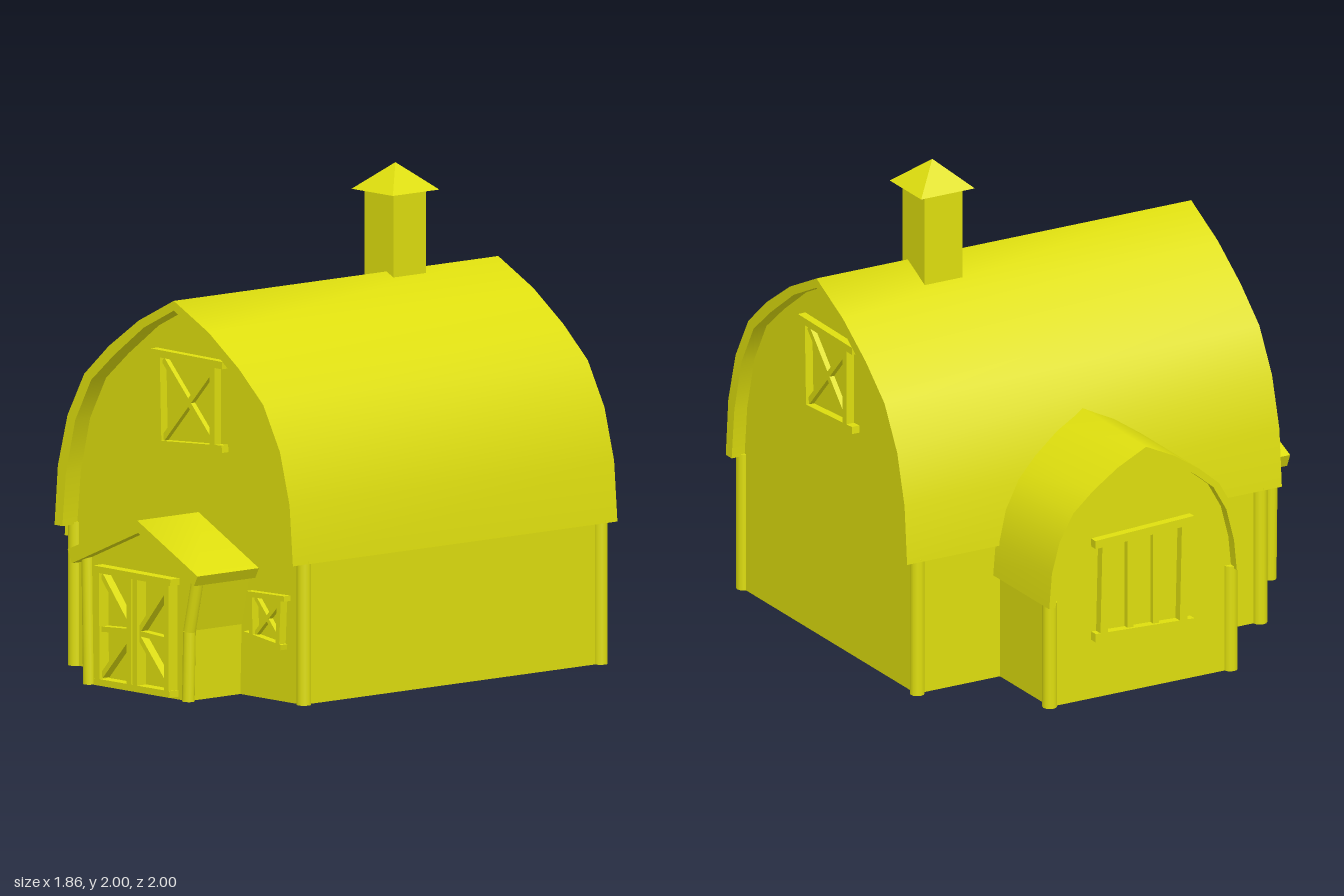
import * as THREE from 'three';
import { toCreasedNormals } from 'three/addons/utils/BufferGeometryUtils.js';

const yellow = new THREE.MeshStandardMaterial({ color: 0xdede0e, side: THREE.DoubleSide });
yellow.name = 'barn yellow';

// Right half of the rounded roof section, from ridge to eave
const OUTER = [[0, 1.57], [0.212, 1.465], [0.393, 1.34], [0.541, 1.21], [0.642, 1.03], [0.7, 0.82], [0.72, 0.575]];
const INNER = [[0, 1.53], [0.181, 1.44], [0.361, 1.307], [0.499, 1.19], [0.595, 1.016], [0.652, 0.79], [0.673, 0.575]];

// Full section, left eave to right eave
const full = (half) => [...half.slice(1).reverse().map(([x, y]) => [-x, y]), ...half];
const shapeOf = (pts) => new THREE.Shape(pts.map(([x, y]) => new THREE.Vector2(x, y)));

function add(parent, name, geo) {
  const m = new THREE.Mesh(geo, yellow);
  m.name = name;
  parent.add(m);
  return m;
}

// Solid prism of an outline between z0 and z1
function prism(parent, name, pts, z0, z1) {
  const geo = new THREE.ExtrudeGeometry(shapeOf(pts), { depth: z1 - z0, bevelEnabled: false });
  return add(parent, name, toCreasedNormals(geo.translate(0, 0, z0), 1.0));
}

// Flat wall facing +z or -z
function wall(parent, name, pts, z, back = false) {
  const m = add(parent, name, new THREE.ShapeGeometry(shapeOf(pts)));
  m.position.z = z;
  if (back) m.rotation.y = Math.PI;
  return m;
}

// Single side wall running along z, following a path in x and y
function sideWall(parent, name, path, z0, z1) {
  const pos = [];
  for (let i = 0; i < path.length - 1; i++) {
    const [a, b] = [path[i], path[i + 1]];
    pos.push(...a, z0, ...b, z0, ...b, z1, ...a, z0, ...b, z1, ...a, z1);
  }
  const geo = new THREE.BufferGeometry();
  geo.setAttribute('position', new THREE.Float32BufferAttribute(pos, 3));
  geo.computeVertexNormals();
  return add(parent, name, geo);
}

// Straight timber between two points of a facade
function bar(parent, name, [x1, y1, x2, y2], w, depth, z) {
  const m = add(parent, name, new THREE.BoxGeometry(Math.hypot(x2 - x1, y2 - y1), w, depth));
  m.position.set((x1 + x2) / 2, (y1 + y2) / 2, z);
  m.rotation.z = Math.atan2(y2 - y1, x2 - x1);
}

// Rails, stiles and thinner braces making up a window or door
function timberFrame(parent, name, z, rails, braces, w) {
  const g = new THREE.Group();
  g.name = name;
  g.position.z = z;
  rails.forEach((r) => bar(g, 'frameTimber', r, w, 0.06, 0.005));
  braces.forEach((r) => bar(g, 'brace', r, w * 0.8, 0.04, 0.002));
  parent.add(g);
  return g;
}

// Round post bent along a path of points in x and y
function post(parent, name, path, z, r = 0.03) {
  for (let i = 0; i < path.length - 1; i++) {
    const a = new THREE.Vector3(...path[i], z), b = new THREE.Vector3(...path[i + 1], z);
    const dir = b.clone().sub(a);
    const m = add(parent, name, new THREE.CylinderGeometry(r, r, dir.length(), 12));
    m.position.copy(a).add(b).multiplyScalar(0.5);
    m.quaternion.setFromUnitVectors(new THREE.Vector3(0, 1, 0), dir.normalize());
  }
}

// Arched hall: roof band, end walls, side walls and corner posts, open below
function hall(name, sx, mapY, z0, z1, wz0, wz1, halfWall, backEnd) {
  const g = new THREE.Group();
  g.name = name;
  const fit = (half) => full(half).map(([x, y]) => [x * sx, mapY(y)]);
  const outer = fit(OUTER), inner = fit(INNER), eave = mapY(0.575);
  prism(g, 'roof', [...outer, ...inner.slice().reverse()], z0, z1);
  const mid = outer.map(([x, y], i) => [(x + inner[i][0]) / 2, (y + inner[i][1]) / 2]);
  const end = [[-halfWall, 0], [-halfWall, eave], ...mid.slice(1, -1), [halfWall, eave], [halfWall, 0]];
  wall(g, 'frontWall', end, wz1);
  if (backEnd) wall(g, 'backWall', end, wz0, true);
  for (const s of [-1, 1]) {
    sideWall(g, 'sideWall', [[s * halfWall, 0], [s * halfWall, eave + 0.03]], wz0, wz1);
    for (const z of backEnd ? [wz0, wz1] : [wz1])
      post(g, 'cornerPost', [[s * halfWall, 0], [s * halfWall, eave + 0.01]], z - Math.sign(z) * 0.005);
  }
  return g;
}

export function createModel() {
  const model = new THREE.Group();
  model.name = 'barn';

  // Main hall
  const main = hall('mainHall', 1, (y) => y, -1, 0.745, -0.94, 0.665, 0.69, true);
  main.position.x = 0.205;
  model.add(main);

  // Side hall facing -x
  const side = hall('sideHall', 0.627, (y) => 0.44 + (y - 0.575) * 0.615, 0.3, 0.93, 0.45, 0.885, 0.42, false);
  side.rotation.y = -Math.PI / 2;
  side.position.z = -0.13;
  model.add(side);
  timberFrame(side, 'sideWindow', 0.885,
    [[-0.23, 0.67, 0.23, 0.69], [-0.23, 0.27, 0.23, 0.25], [-0.19, 0.26, -0.18, 0.68], [0.18, 0.26, 0.19, 0.68]],
    [[-0.06, 0.26, -0.06, 0.68], [0.06, 0.26, 0.06, 0.68]], 0.035);

  // Loft windows in both gables
  for (const back of [false, true]) {
    const loft = timberFrame(main, 'loftWindow', back ? -0.94 : 0.665,
      [[-0.19, 1.335, 0.24, 1.33], [-0.15, 0.965, 0.24, 0.99], [-0.14, 0.97, -0.15, 1.33], [0.18, 0.98, 0.18, 1.33]],
      [[-0.13, 0.99, 0.17, 1.31], [-0.13, 1.31, 0.17, 1.0]], 0.03);
    if (back) loft.rotation.y = Math.PI;
  }

  // Small front windows
  timberFrame(model, 'frontWindow', 0.665,
    [[-0.4, 0.445, -0.165, 0.435], [-0.385, 0.22, -0.16, 0.25], [-0.37, 0.23, -0.365, 0.44], [-0.19, 0.25, -0.18, 0.43]],
    [[-0.36, 0.24, -0.195, 0.42], [-0.36, 0.42, -0.195, 0.255]], 0.022);
  timberFrame(model, 'frontWindow', 0.665,
    [[0.59, 0.42, 0.82, 0.425], [0.575, 0.255, 0.8, 0.225], [0.62, 0.25, 0.615, 0.42], [0.78, 0.23, 0.79, 0.42]],
    [[0.63, 0.26, 0.78, 0.41], [0.63, 0.41, 0.775, 0.25]], 0.022);

  // Porch with a crooked right side
  const porch = new THREE.Group();
  porch.name = 'porch';
  model.add(porch);
  prism(porch, 'porchRoof',
    [[-0.155, 0.545], [-0.13, 0.49], [0.27, 0.66], [0.608, 0.483], [0.63, 0.525], [0.265, 0.71]], 0.64, 0.995);
  const left = [[-0.08, 0], [-0.09, 0.52]];
  const right = [[0.518, 0], [0.525, 0.285], [0.577, 0.51]];
  wall(porch, 'porchFront', [...left, [0.268, 0.68], ...right.slice().reverse()], 0.945);
  sideWall(porch, 'porchSide', left, 0.62, 0.945);
  sideWall(porch, 'porchSide', right, 0.62, 0.945);
  post(porch, 'porchPost', left, 0.945, 0.026);
  post(porch, 'porchPost', right, 0.945, 0.026);

  // Double door with crossed braces
  timberFrame(porch, 'doubleDoor', 0.96,
    [[0, 0.483, 0.465, 0.48], [0, 0.025, 0.46, 0.025], [0.025, 0.03, 0.02, 0.48], [0.44, 0.03, 0.44, 0.48],
      [0.215, 0.03, 0.215, 0.48], [0.25, 0.03, 0.25, 0.48]],
    [[0.03, 0.24, 0.21, 0.25], [0.25, 0.25, 0.43, 0.24],
      [0.035, 0.46, 0.205, 0.26], [0.035, 0.05, 0.205, 0.235], [0.26, 0.26, 0.43, 0.46], [0.26, 0.235, 0.43, 0.05]], 0.027);

  // Chimney and pyramid cap
  const chimney = add(model, 'chimney', new THREE.BoxGeometry(0.175, 0.42, 0.175));
  chimney.position.set(0.158, 1.685, -0.487);
  const cap = add(model, 'chimneyCap',
    toCreasedNormals(new THREE.ConeGeometry(0.125 * Math.SQRT2, 0.11, 4).rotateY(Math.PI / 4), 0.3));
  cap.position.set(0.16, 1.945, -0.487);

  return model;
}
